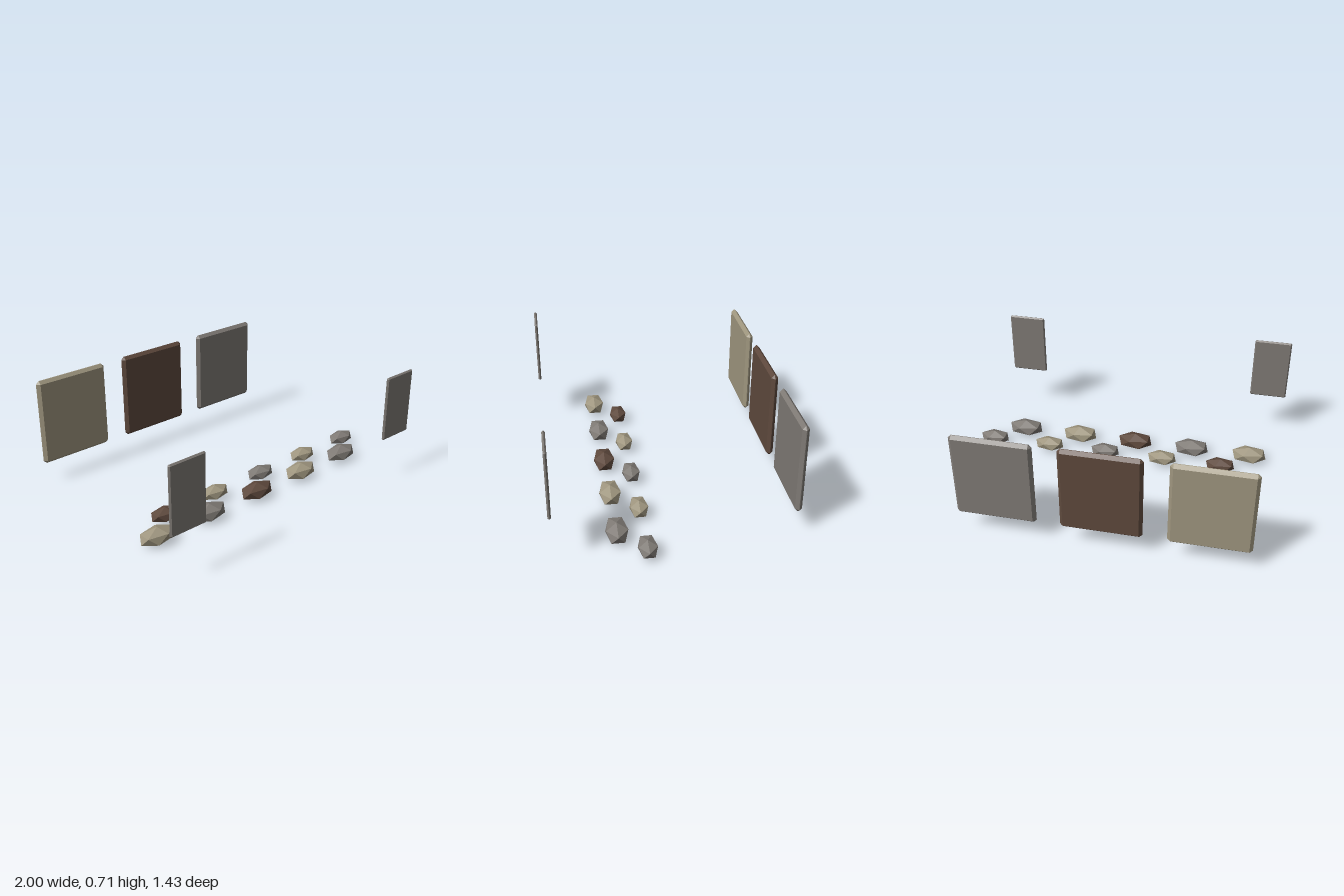
import * as THREE from 'three';
import { ConvexGeometry } from 'three/addons/geometries/ConvexGeometry.js';

// Box with flat chamfers on every edge and corner
function chamferedBox(w, h, d, b) {
  const [x, y, z] = [w / 2, h / 2, d / 2];
  const points = [];
  for (const sx of [-1, 1]) for (const sy of [-1, 1]) for (const sz of [-1, 1]) {
    points.push(
      new THREE.Vector3(sx * x, sy * (y - b), sz * (z - b)),
      new THREE.Vector3(sx * (x - b), sy * y, sz * (z - b)),
      new THREE.Vector3(sx * (x - b), sy * (y - b), sz * z));
  }
  return new ConvexGeometry(points);
}

export function createModel() {
  const model = new THREE.Group();
  model.name = 'panelsAndStones';

  const material = (name, color) => {
    const m = new THREE.MeshStandardMaterial({ color });
    m.name = name;
    return m;
  };
  const tan = material('tan', 0x9f967f);
  const brown = material('brown', 0x5e493d);
  const grey = material('grey', 0x7f7a75);

  const add = (name, geometry, mat, x, y, z) => {
    const mesh = new THREE.Mesh(geometry, mat);
    mesh.name = name;
    mesh.position.set(x, y, z);
    model.add(mesh);
    return mesh;
  };

  // Three large panels at the back
  const backPanel = chamferedBox(0.485, 0.555, 0.042, 0.019);
  [tan, brown, grey].forEach((mat, i) =>
    add('backPanel', backPanel, mat, -0.667 + i * 0.627, 0.413, -0.694));

  // Two thin panels at the front
  const frontPanel = chamferedBox(0.238, 0.416, 0.019, 0.008);
  for (const x of [-0.88, 0.796]) add('frontPanel', frontPanel, grey, x, 0.503, 0.705);

  // Faceted stones with a vertex pointing straight up
  const stone = new THREE.IcosahedronGeometry(1, 0);
  stone.rotateX(-Math.atan((1 + Math.sqrt(5)) / 2));
  stone.rotateY(Math.PI / 2);

  const rows = [
    { name: 'largeStone', x: -0.807, z: 0.334, size: [0.124, 0.054, 0.074], mats: [tan, grey, brown, tan, grey] },
    { name: 'smallStone', x: -0.632, z: 0.181, size: [0.104, 0.045, 0.062], mats: [brown, tan, grey, tan, grey] },
  ];
  for (const row of rows) {
    row.mats.forEach((mat, i) =>
      add(row.name, stone, mat, row.x + i * 0.384, 0.055, row.z).scale.set(...row.size));
  }
  return model;
}
